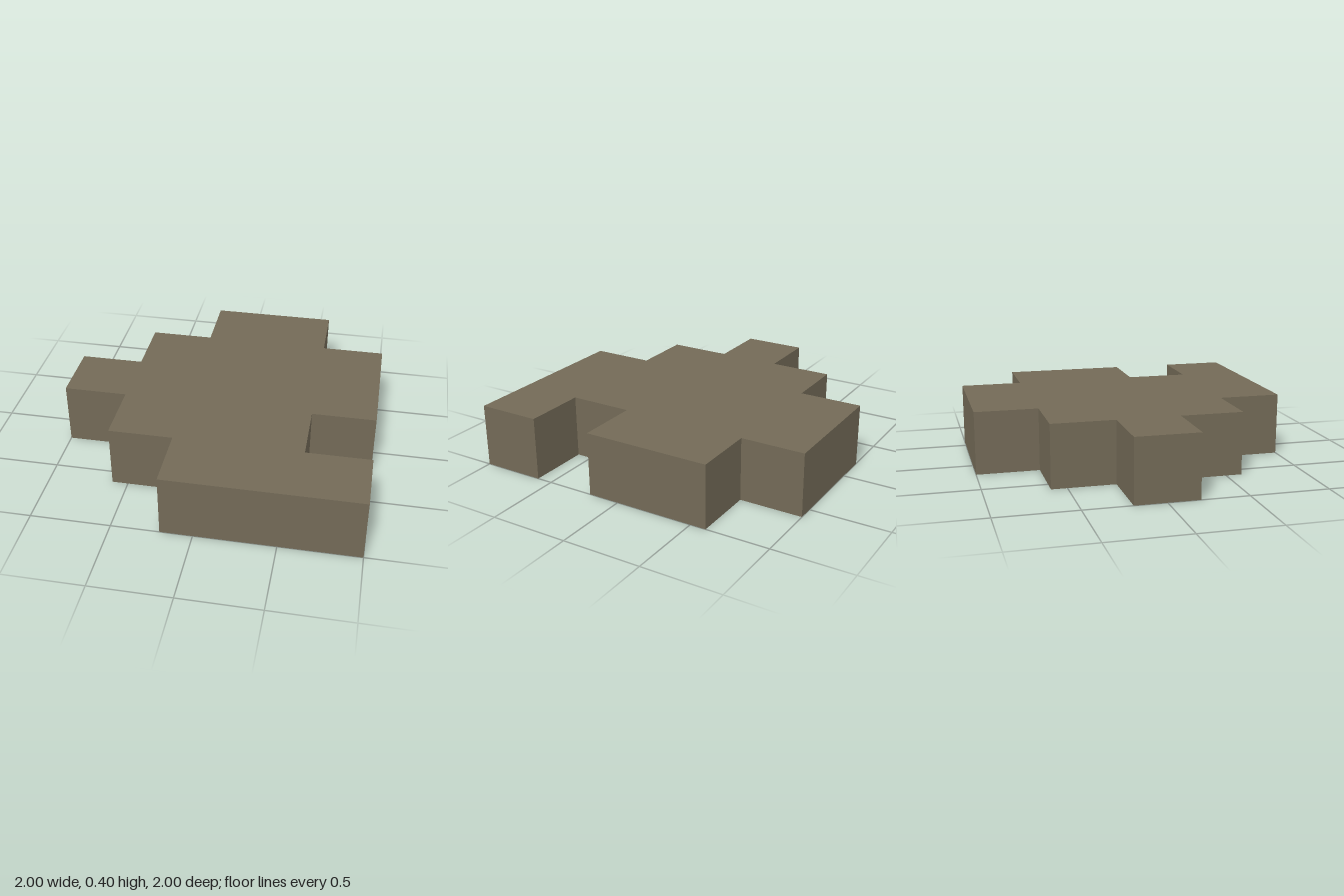
import * as THREE from 'three';

const HEIGHT = 0.4;

// Stepped outline of the slab as [x, z], walked around from the back edge
const OUTLINE = [
  [-0.2, -1], [0.6, -1], [0.6, -0.6], [1, -0.6], [1, 0.2], [0.6, 0.2],
  [0.6, 0.6], [1, 0.6], [1, 1], [-0.2, 1], [-0.2, 0.6], [-0.6, 0.6],
  [-0.6, 0.2], [-1, 0.2], [-1, -0.2], [-0.6, -0.2], [-0.6, -0.6], [-0.2, -0.6],
];

export function createModel() {
  const stone = new THREE.MeshStandardMaterial({ color: 0x736a57 });
  stone.name = 'greyBrownStone';

  // Drawn in x and -z, extruded, then laid flat so the depth becomes the height
  const shape = new THREE.Shape(OUTLINE.map(([x, z]) => new THREE.Vector2(x, -z)));
  const geometry = new THREE.ExtrudeGeometry(shape, { depth: HEIGHT, bevelEnabled: false });
  geometry.rotateX(-Math.PI / 2);

  const slab = new THREE.Mesh(geometry, stone);
  slab.name = 'steppedSlab';

  const model = new THREE.Group();
  model.name = 'blockySlab';
  model.add(slab);
  return model;
}
